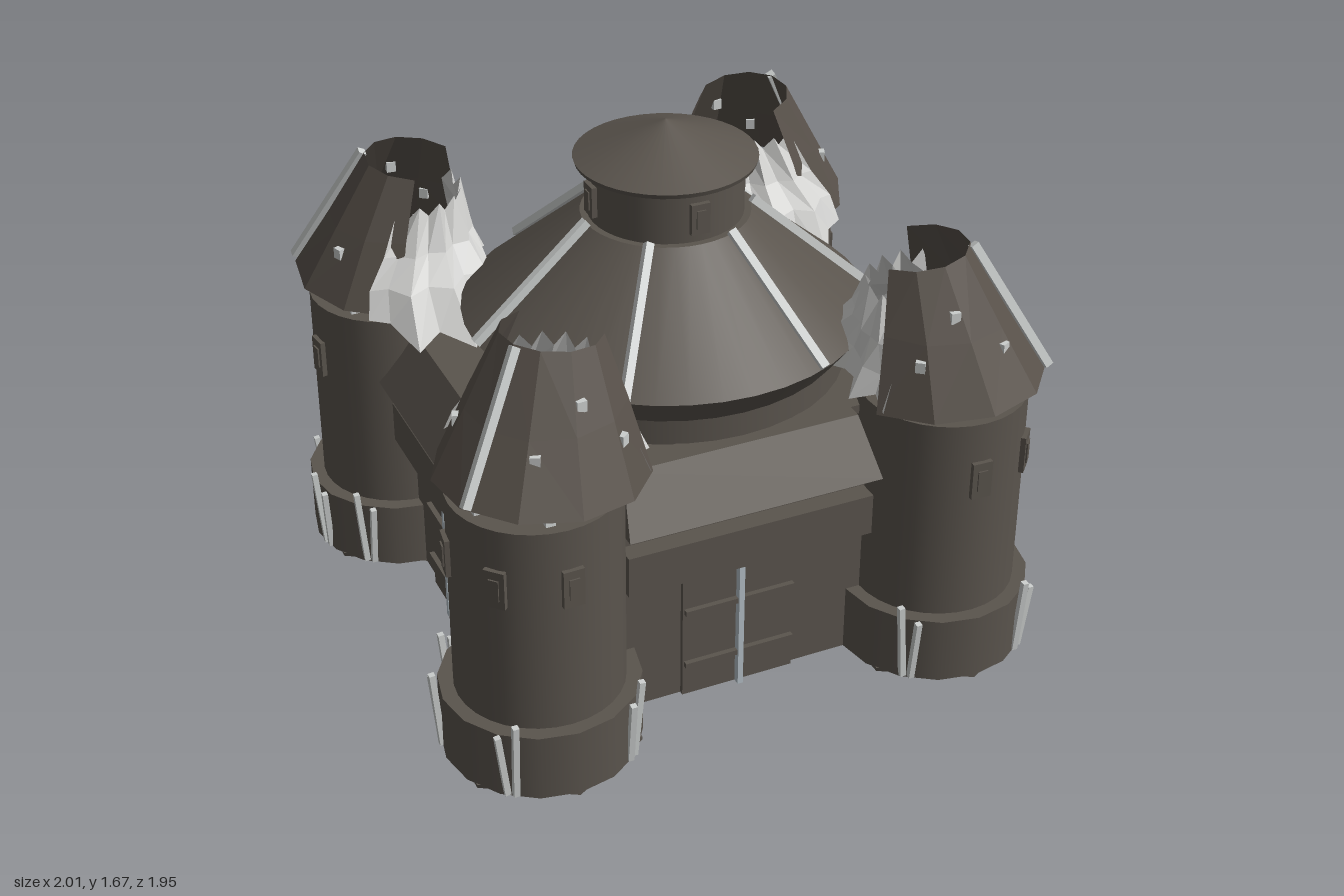
import * as THREE from 'three';
import { ConvexGeometry } from 'three/addons/geometries/ConvexGeometry.js';

const mat = (name, color, extra = {}) => {
  const m = new THREE.MeshStandardMaterial({ color, ...extra });
  m.name = name;
  return m;
};
const V = (x, y, z) => new THREE.Vector3(x, y, z);
const rad = deg => deg * Math.PI / 180;

export function createModel() {
  const stone = mat('stone', 0x5a544d);
  const roofing = mat('roofing', 0x58514a, { side: THREE.DoubleSide, flatShading: true });
  const cloth = mat('tornLining', 0xd2d2d0, { side: THREE.DoubleSide, flatShading: true });
  const metal = mat('paleMetal', 0xcbcecd);
  const doorMetal = mat('doorMetal', 0xb4bfc6);
  const model = new THREE.Group();
  model.name = 'fortress';

  function add(parent, name, geo, material, x = 0, y = 0, z = 0) {
    const m = new THREE.Mesh(geo, material);
    m.name = name;
    m.position.set(x, y, z);
    parent.add(m);
    return m;
  }
  const box = (p, name, w, h, d, m, x, y, z) => add(p, name, new THREE.BoxGeometry(w, h, d), m, x, y, z);
  const drum = (p, name, rTop, rBottom, y0, y1, n, m) =>
    add(p, name, new THREE.CylinderGeometry(rTop, rBottom, y1 - y0, n), m, 0, (y0 + y1) / 2, 0);

  // Straight square bar between two points
  function bar(p, name, a, b, w, m) {
    const dir = b.clone().sub(a);
    const mid = a.clone().add(b).multiplyScalar(0.5);
    const mesh = box(p, name, w, dir.length(), w, m, mid.x, mid.y, mid.z);
    mesh.quaternion.setFromUnitVectors(V(0, 1, 0), dir.normalize());
  }

  // Skin through rows of points, lowest row first
  function skin(rows, flip) {
    const pos = [];
    const tri = (a, b, c) => (flip ? [a, c, b] : [a, b, c]).forEach(v => pos.push(v.x, v.y, v.z));
    for (let r = 0; r < rows.length - 1; r++) {
      const lo = rows[r], hi = rows[r + 1];
      for (let i = 0; i < lo.length - 1; i++) {
        tri(lo[i], hi[i], lo[i + 1]);
        tri(lo[i + 1], hi[i], hi[i + 1]);
      }
    }
    const g = new THREE.BufferGeometry();
    g.setAttribute('position', new THREE.Float32BufferAttribute(pos, 3));
    g.computeVertexNormals();
    return g;
  }

  // Central keep with its wide conical roof and lantern
  const keep = new THREE.Group();
  keep.name = 'keep';
  keep.position.set(0.022, 0, 0.02);
  model.add(keep);
  drum(keep, 'keepDrum', 0.57, 0.57, 0.005, 0.95, 40, stone);
  drum(keep, 'roofUnderside', 0.644, 0.57, 0.95, 1.05, 40, stone);
  drum(keep, 'keepRoof', 0.265, 0.644, 1.05, 1.37, 40, stone);
  drum(keep, 'lantern', 0.243, 0.243, 1.37, 1.55, 40, stone);
  drum(keep, 'lanternEave', 0.285, 0.28, 1.54, 1.555, 40, stone);
  drum(keep, 'lanternRoof', 0, 0.285, 1.555, 1.67, 40, stone);
  for (let k = 0; k < 4; k++) {
    const a = k * Math.PI / 2;
    box(keep, 'lanternWindow', 0.062, 0.1, 0.03, stone, Math.sin(a) * 0.243, 1.45, Math.cos(a) * 0.243).rotation.y = a;
    box(keep, 'lanternWindowSlot', 0.03, 0.06, 0.008, stone, Math.sin(a) * 0.259, 1.45, Math.cos(a) * 0.259).rotation.y = a;
  }
  for (const deg of [17, 67, 125, 177, 245, 328]) {
    const at = (r, y) => V(Math.cos(rad(deg)) * r, y, Math.sin(rad(deg)) * r);
    bar(keep, 'keepRafter', at(0.65, 1.06), at(0.27, 1.385), 0.026, metal);
  }
  box(model, 'wallWalk', 1.18, 0.03, 1.18, stone, 0.02, 0.853, -0.01);

  // Four gate walls: [turns, distance to the eave]
  for (const [k, d] of [[0, 0.75], [1, 0.85], [2, 0.79], [3, 0.8]]) {
    const w = new THREE.Group();
    w.name = 'gateWall';
    w.rotation.y = k * Math.PI / 2;
    model.add(w);
    const face = d - 0.1;
    box(w, 'wall', 0.9, 0.7, 0.12, stone, 0, 0.36, face - 0.06);
    box(w, 'lintel', 0.82, 0.14, 0.09, stone, 0, 0.55, d - 0.08);
    // Sloping roof with a flat top running back to the keep
    const pts = [];
    for (const s of [-1, 1]) {
      pts.push(V(s * 0.42, 0.7, d), V(s * 0.42, 0.7, 0.55));
      pts.push(V(s * 0.39, 0.87, d - 0.12), V(s * 0.39, 0.87, 0.55));
    }
    add(w, 'wallRoof', new ConvexGeometry(pts), stone);
    // Double door with rails and a pale centre bar
    const cx = -0.02;
    for (const s of [-1, 1]) box(w, 'doorLeaf', 0.186, 0.46, 0.02, stone, cx + s * 0.097, 0.24, face + 0.005);
    for (const y of [0.13, 0.33]) box(w, 'doorRail', 0.37, 0.018, 0.04, stone, cx, y, face + 0.012);
    box(w, 'doorBar', 0.018, 0.46, 0.03, doorMetal, cx, 0.24, face + 0.024);
  }

  // Corner towers, mirrored by sign
  function tower(sx, sz) {
    const t = new THREE.Group();
    t.name = 'cornerTower';
    t.position.set(sx * 0.675, 0, sz * 0.645);
    model.add(t);
    const flip = sx * sz < 0;
    const P = (deg, r, y, ox = 0, oz = 0) =>
      V(sx * (ox + r * Math.cos(rad(deg))), y, sz * (oz + r * Math.sin(rad(deg))));
    const yaw = deg => Math.atan2(sx * Math.cos(rad(deg)), sz * Math.sin(rad(deg)));

    drum(t, 'towerFoot', 0.31, 0.31, 0.01, 0.235, 16, stone);
    drum(t, 'towerSole', 0.31, 0.31, 0, 0.012, 6, stone);
    drum(t, 'towerShaft', 0.262, 0.262, 0.235, 0.925, 32, stone);

    for (const deg of [-8, 43, 92]) {
      const p = P(deg, 0.26, 0.73), q = P(deg, 0.276, 0.73);
      box(t, 'towerWindow', 0.066, 0.125, 0.03, stone, p.x, p.y, p.z).rotation.y = yaw(deg);
      box(t, 'towerWindowSlot', 0.032, 0.07, 0.008, stone, q.x, q.y, q.z).rotation.y = yaw(deg);
    }

    // Posts that carry the roof
    for (let deg = 20; deg < 380; deg += 60)
      bar(t, 'roofPost', P(deg, 0.215, 0.91), P(deg, 0.2, 1.08), 0.03, metal);

    // Leaning roof shell, torn open on its inner side
    const low = [], mid = [], high = [];
    for (let i = 0; i <= 7; i++) {
      const deg = -75 + i * 33;
      low.push(P(deg, 0.32, 0.975 + 0.025 * Math.cos(rad(deg - 45)), -0.02, 0.01));
      mid.push(P(deg, 0.235, 1.19, -0.05, -0.018));
      high.push(P(deg, 0.15, 1.385 + 0.02 * Math.cos(rad(deg - 30)), -0.085, -0.05));
    }
    add(t, 'towerRoof', skin([low, mid, high], flip), roofing);

    // Ragged pale lining in the tear, sagging most towards the keep
    const rows = [[], [], [], []];
    const reach = [0.34, 0.3, 0.35, 0.3, 0.31, 0.35, 0.43, 0.5, 0.42, 0.48, 0.4, 0.45, 0.35, 0.34];
    reach.forEach((r, i) => {
      const deg = 152 + i * 11.3, fold = i % 2, s = (r - 0.3) / 0.2;
      rows[0].push(P(deg, r, 1.0 - 0.12 * s));
      rows[1].push(P(deg, 0.28 + 0.1 * s, 1.07 - 0.01 * fold));
      rows[2].push(P(deg, 0.225 + 0.03 * s + 0.015 * fold, 1.15, -0.035, -0.02));
      rows[3].push(P(deg, 0.16 + 0.015 * fold, 1.25 + 0.04 * fold, -0.07, -0.04));
    });
    add(t, 'tornLining', skin(rows, flip), cloth);

    // Corner rafter and small roof hatches
    bar(t, 'towerRafter', P(29, 0.315, 1.01, -0.01, 0.01), P(29, 0.158, 1.405, -0.085, -0.05), 0.026, metal);
    for (const [deg, y] of [[-22, 1.13], [62, 1.14], [95, 1.26], [128, 1.13]]) {
      const f = (y - 0.98) / 0.41;
      const p = P(deg, 0.312 - 0.165 * f, y, -0.02 - 0.065 * f, 0.01 - 0.06 * f);
      box(t, 'roofHatch', 0.03, 0.035, 0.022, metal, p.x, p.y, p.z).rotation.y = yaw(deg);
    }

    // Splayed stakes around the foot
    for (const deg of [-49, -14, 52, 132])
      for (const [o, h] of [[-3, 0.24], [2, 0.29]])
        bar(t, 'stake', P(deg + o, 0.306, 0.015), P(deg + o * 2, 0.328, h), 0.019, metal);
  }
  for (const sx of [-1, 1]) for (const sz of [-1, 1]) tower(sx, sz);

  return model;
}
